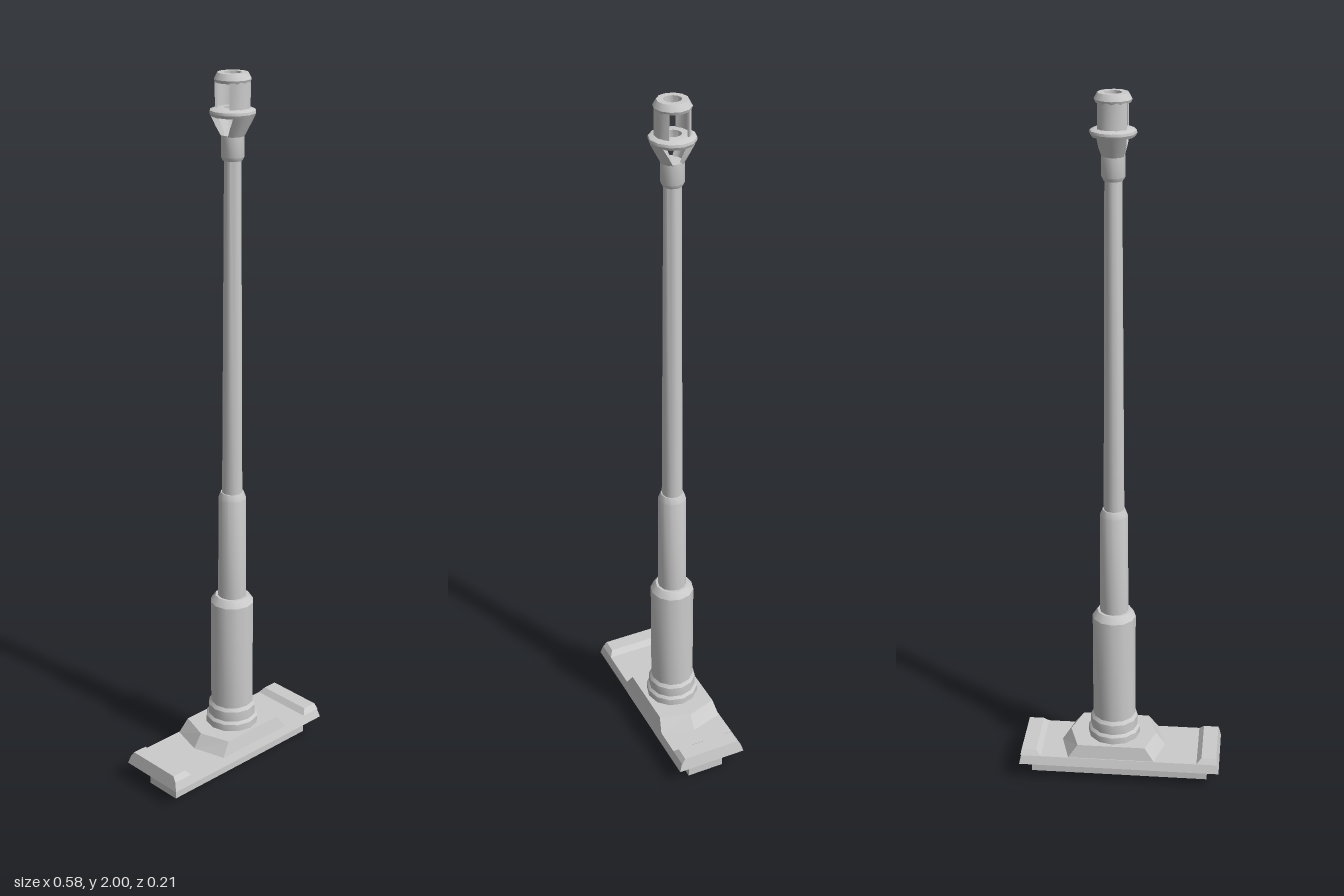
import * as THREE from 'three';
import { toCreasedNormals } from 'three/addons/utils/BufferGeometryUtils.js';

const AXIS_X = 0.02, SIDES = 12;
const material = new THREE.MeshStandardMaterial({ color: 0xcccccc });

// Joins equal-length loops of [x, y, z] from bottom to top, optionally capped.
function loft(loops, capped = true) {
  const pos = [];
  const tri = (a, b, c) => pos.push(...a, ...b, ...c);
  for (let i = 0; i < loops.length - 1; i++) {
    const lo = loops[i], hi = loops[i + 1], n = lo.length;
    for (let j = 0; j < n; j++) {
      const k = (j + 1) % n;
      tri(lo[j], hi[j], lo[k]);
      tri(lo[k], hi[j], hi[k]);
    }
  }
  if (capped) {
    const b = loops[0], t = loops[loops.length - 1];
    for (let j = 1; j < b.length - 1; j++) {
      tri(b[0], b[j], b[j + 1]);
      tri(t[0], t[j + 1], t[j]);
    }
  }
  const g = new THREE.BufferGeometry();
  g.setAttribute('position', new THREE.Float32BufferAttribute(pos, 3));
  g.computeVertexNormals();
  return g;
}

const rect = (y, x0, x1, z0, z1) => [[x0, y, z0], [x1, y, z0], [x1, y, z1], [x0, y, z1]];

function turned(profile) {
  const g = new THREE.LatheGeometry(profile.map(([r, y]) => new THREE.Vector2(r, y)), SIDES);
  return toCreasedNormals(g, Math.PI / 5.5);
}

// Curved wall on the +z side; rows are [y, outer radius, inner radius, opening half-angle].
function ventWall(rows) {
  const steps = 6;
  const loops = rows.map(([y, ro, ri, gap]) => {
    const loop = [];
    const arc = (r, s) => {
      const a = gap + (Math.PI - 2 * gap) * s / steps;
      loop.push([r * Math.cos(a), y, r * Math.sin(a)]);
    };
    for (let s = 0; s <= steps; s++) arc(ro, s);
    for (let s = steps; s >= 0; s--) arc(ri, s);
    return loop;
  });
  return toCreasedNormals(loft(loops, false), Math.PI / 5.5);
}

export function createModel() {
  const model = new THREE.Group();
  const add = (name, geometry, parent = model) => {
    const mesh = new THREE.Mesh(geometry, material);
    mesh.name = name;
    parent.add(mesh);
    return mesh;
  };

  // Hollow rectangular mounting frame under the plate
  const frame = new THREE.Shape();
  const outline = (path, x0, x1, y0, y1) =>
    path.moveTo(x0, y0).lineTo(x1, y0).lineTo(x1, y1).lineTo(x0, y1).closePath();
  outline(frame, -0.257, 0.262, -0.06, 0.05);
  const opening = new THREE.Path();
  outline(opening, -0.23, 0.235, -0.047, 0.037);
  frame.holes.push(opening);
  const frameGeo = new THREE.ExtrudeGeometry(frame, { depth: 0.045, bevelEnabled: false });
  add('mountingFrame', frameGeo.rotateX(-Math.PI / 2));

  // Breech boss visible inside the frame
  add('breechBoss', turned([[0, 0.025], [0.045, 0.025], [0.045, 0.05]])).position.x = AXIS_X;

  // Sloped underside and main plate
  add('plateUnderside', loft([
    rect(0.043, -0.257, 0.262, -0.06, 0.065),
    rect(0.059, -0.257, 0.262, -0.1, 0.1),
  ]));
  add('basePlate', loft([
    rect(0.058, -0.293, 0.291, -0.105, 0.102),
    rect(0.083, -0.288, 0.286, -0.097, 0.094),
  ]));

  // Raised bevelled blocks at both ends
  for (const side of [-1, 1]) {
    const span = (y, inner, outer, z) => side > 0
      ? rect(y, inner, outer, -z, z - 0.003)
      : rect(y, -outer, -inner, -z, z - 0.003);
    add(side > 0 ? 'leftEndBlock' : 'rightEndBlock',
      loft([span(0.083, 0.228, 0.288, 0.097), span(0.098, 0.242, 0.285, 0.086)]));
  }

  // Raised centre with pointed ends
  const pointed = (y, tip, shoulder, z) => {
    const c = 0.022;
    return [[c - shoulder, y, -z], [c + shoulder, y, -z], [c + tip, y, 0],
      [c + shoulder, y, z], [c - shoulder, y, z], [c - tip, y, 0]];
  };
  add('raisedCentre', loft([pointed(0.082, 0.153, 0.126, 0.095), pointed(0.122, 0.126, 0.098, 0.087)]));

  // Stepped barrel with its base collar
  const barrel = new THREE.Group();
  barrel.name = 'barrel';
  barrel.position.x = AXIS_X;
  model.add(barrel);
  add('baseCollar', turned([
    [0.076, 0.115], [0.076, 0.142], [0.069, 0.15], [0.069, 0.18], [0.062, 0.19],
  ]), barrel);
  add('lowerSleeve', turned([[0.062, 0.18], [0.062, 0.512], [0.048, 0.532], [0.03, 0.532]]), barrel);
  add('middleSleeve', turned([[0.041, 0.525], [0.039, 0.832], [0.032, 0.85], [0.02, 0.85]]), barrel);
  add('upperTube', turned([[0.029, 0.84], [0.023, 1.79]]), barrel);

  // Muzzle brake: socket, flared vents, baffle, upper vents and bored cap
  const brake = new THREE.Group();
  brake.name = 'muzzleBrake';
  barrel.add(brake);
  add('brakeSocket', turned([
    [0, 1.777], [0.026, 1.777], [0.031, 1.787], [0.031, 1.843], [0, 1.843],
  ]), brake);
  for (const side of [0, 1]) {
    const lower = add('flaredVentWall', ventWall([
      [1.84, 0.031, 0.022, 0.4], [1.865, 0.044, 0.03, 0.65], [1.893, 0.058, 0.04, 0.85],
    ]), brake);
    const upper = add('upperVentWall', ventWall([
      [1.905, 0.046, 0.041, 0.62], [1.98, 0.046, 0.041, 0.62],
    ]), brake);
    lower.rotation.y = upper.rotation.y = side * Math.PI;
  }
  add('baffleRing', turned([
    [0.023, 1.891], [0.057, 1.891], [0.061, 1.899], [0.06, 1.906], [0.046, 1.912], [0.023, 1.912], [0.023, 1.891],
  ]), brake);
  add('muzzleCap', turned([
    [0.023, 1.976], [0.046, 1.976], [0.049, 1.984], [0.04, 2], [0.023, 2], [0.023, 1.976],
  ]), brake);

  return model;
}
